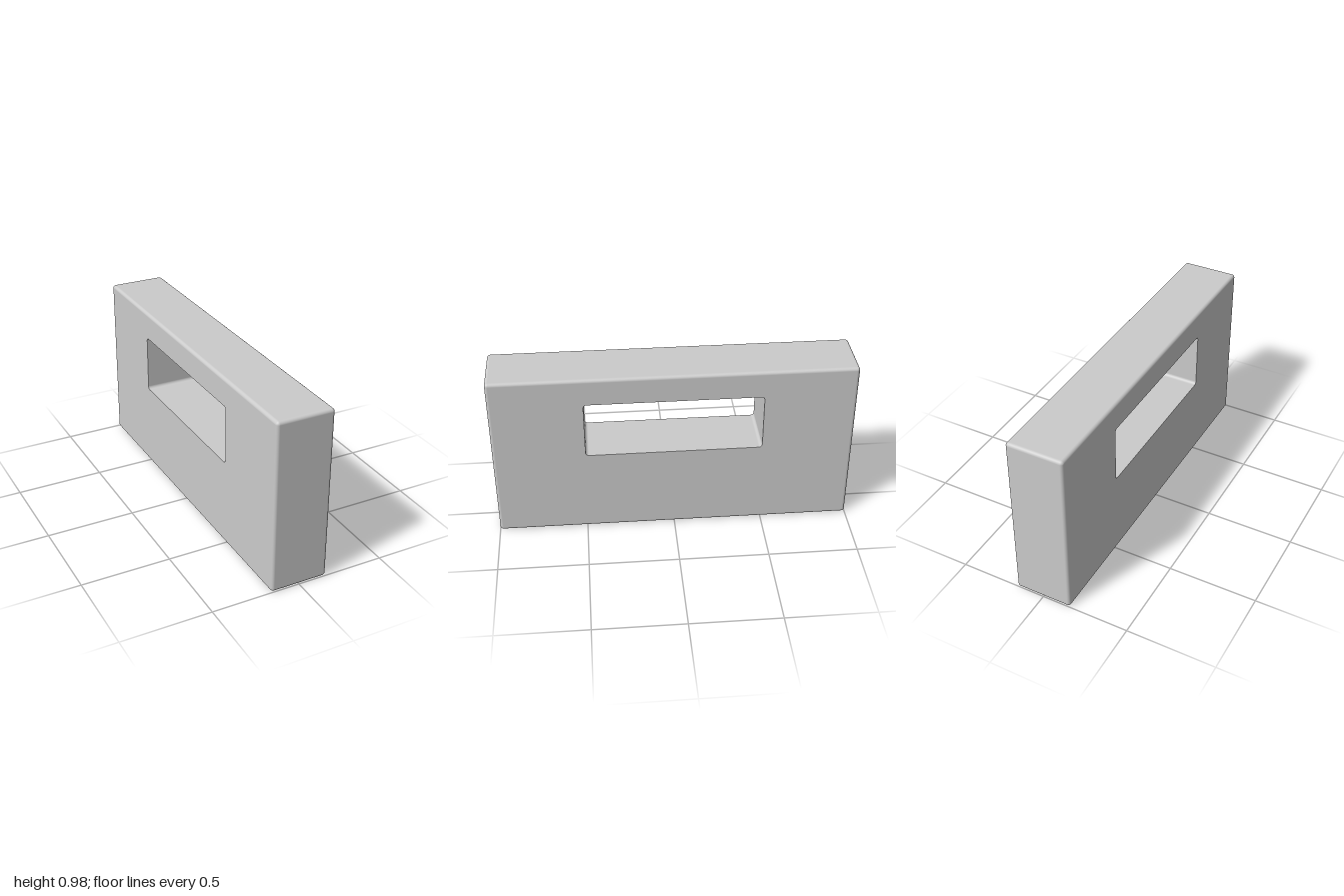
import * as THREE from 'three';

const L = 2, H = 0.98, W = 0.325;      // block length, height, thickness
const R = 0.018;                       // edge rounding
const SLOT = { w: 0.98, h: 0.33, y: 0.66 - H / 2 };

// Rounded rectangle centred on (0, cy)
function roundedRect(path, w, h, cy, r) {
  const x = w / 2 - r, y = h / 2 - r, q = Math.PI / 2;
  [[x, y], [-x, y], [-x, -y], [x, -y]].forEach(([cx, py], i) =>
    path.absarc(cx, cy + py, r, i * q, (i + 1) * q, false));
  path.closePath();
  return path;
}

// Vector from the nearest point of a box (half sizes a, b, c) to p
function fromCore(p, a, b, c) {
  const core = new THREE.Vector3(a, b, c);
  return p.clone().sub(p.clone().clamp(core.clone().negate(), core));
}

function blockGeometry() {
  const shape = roundedRect(new THREE.Shape(), L, H, 0, R + 0.0005);
  shape.holes.push(roundedRect(new THREE.Path(), SLOT.w, SLOT.h, SLOT.y, R));
  const geo = new THREE.ExtrudeGeometry(shape, {
    depth: W - 2 * R, curveSegments: 6,
    bevelThickness: R, bevelSize: R, bevelOffset: -R, bevelSegments: 6,
  });
  geo.translate(0, 0, R - W / 2);
  const pos = geo.attributes.position, nor = geo.attributes.normal;
  const p = new THREE.Vector3();
  const isSlot = [];

  // Keep the slot walls straight so that its rims stay sharp
  for (let i = 0; i < pos.count; i++) {
    p.fromBufferAttribute(pos, i);
    isSlot[i] = Math.abs(p.x) < SLOT.w / 2 + 0.1 && Math.abs(p.y - SLOT.y) < SLOT.h / 2 + 0.06;
    if (!isSlot[i]) continue;
    p.y -= SLOT.y;
    const d = fromCore(p, SLOT.w / 2 - R, SLOT.h / 2 - R, W);
    p.sub(d).add(d.setLength(R));
    pos.setXYZ(i, p.x, p.y + SLOT.y, p.z);
  }

  // Flat normals on the large faces, smooth ones on rounded edges and slot walls
  const tri = new THREE.Triangle(), fn = new THREE.Vector3();
  for (let i = 0; i < pos.count; i += 3) {
    tri.setFromAttributeAndIndices(pos, i, i + 1, i + 2);
    tri.getNormal(fn);
    for (let j = i; j < i + 3; j++) {
      p.fromBufferAttribute(pos, j);
      let n = fn;
      if (Math.abs(fn.z) < 0.9999) {
        if (isSlot[j]) {
          p.y -= SLOT.y;
          n = fromCore(p, SLOT.w / 2 - R, SLOT.h / 2 - R, W).negate().normalize();
        } else {
          n = fromCore(p, L / 2 - R, H / 2 - R, W / 2 - R).normalize();
        }
      }
      nor.setXYZ(j, n.x, n.y, n.z);
    }
  }
  // Lay the length along z and stand the block on the floor
  return geo.rotateY(Math.PI / 2).translate(0, H / 2, 0);
}

export function createModel() {
  const group = new THREE.Group();
  group.name = 'slottedBlock';
  const block = new THREE.Mesh(blockGeometry(), new THREE.MeshStandardMaterial({ color: 0xcccccc }));
  block.name = 'blockWithSlot';
  group.add(block);
  return group;
}
